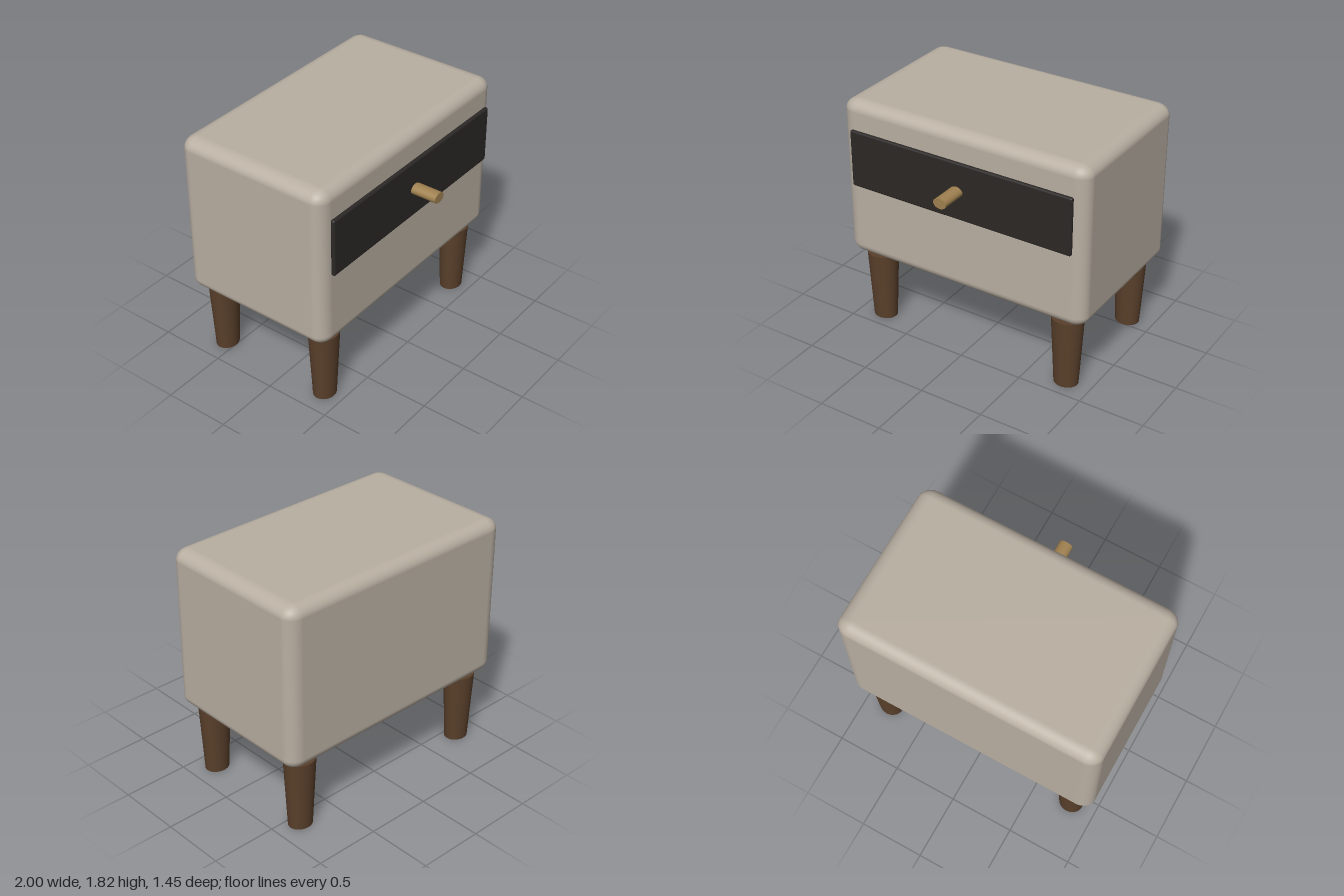
import * as THREE from 'three';
import { RoundedBoxGeometry } from 'three/addons/geometries/RoundedBoxGeometry.js';

const material = (color) => new THREE.MeshStandardMaterial({ color });

export function createModel() {
  const group = new THREE.Group();
  const add = (name, geometry, mat, x, y, z) => {
    const mesh = new THREE.Mesh(geometry, mat);
    mesh.name = name;
    mesh.position.set(x, y, z);
    group.add(mesh);
    return mesh;
  };

  // Rounded box whose edge radius differs per axis
  const softBox = (w, h, d, r, sy, sz) =>
    new RoundedBoxGeometry(w, h / sy, d / sz, 8, r).scale(1, sy, sz);

  // Cabinet body
  add('body', softBox(2, 1.246, 1.223, 0.11, 0.76, 0.87), material(0xb9afa2), 0, 1.199, -0.116);

  // Drawer front, resting on the face of the body
  add('drawerFront', softBox(1.814, 0.443, 0.034, 0.017, 0.9, 0.95), material(0x2b2826), 0, 1.389, 0.511);

  // Oval drawer knob
  const knob = new THREE.CylinderGeometry(0.052, 0.052, 0.206, 32).rotateX(Math.PI / 2).scale(1, 0.76, 1);
  add('knob', knob, material(0xa08150), 0, 1.39, 0.624);

  // Four tapered legs, slightly oval in plan
  const leg = new THREE.CylinderGeometry(0.123, 0.093, 0.557, 32).scale(1, 1, 0.87);
  const wood = material(0x5a402b);
  for (const [side, x] of [['Left', 0.8], ['Right', -0.8]]) {
    for (const [end, z] of [['front', 0.346], ['back', -0.576]]) {
      add(`${end}${side}Leg`, leg, wood, x, 0.2785, z);
    }
  }
  return group;
}
